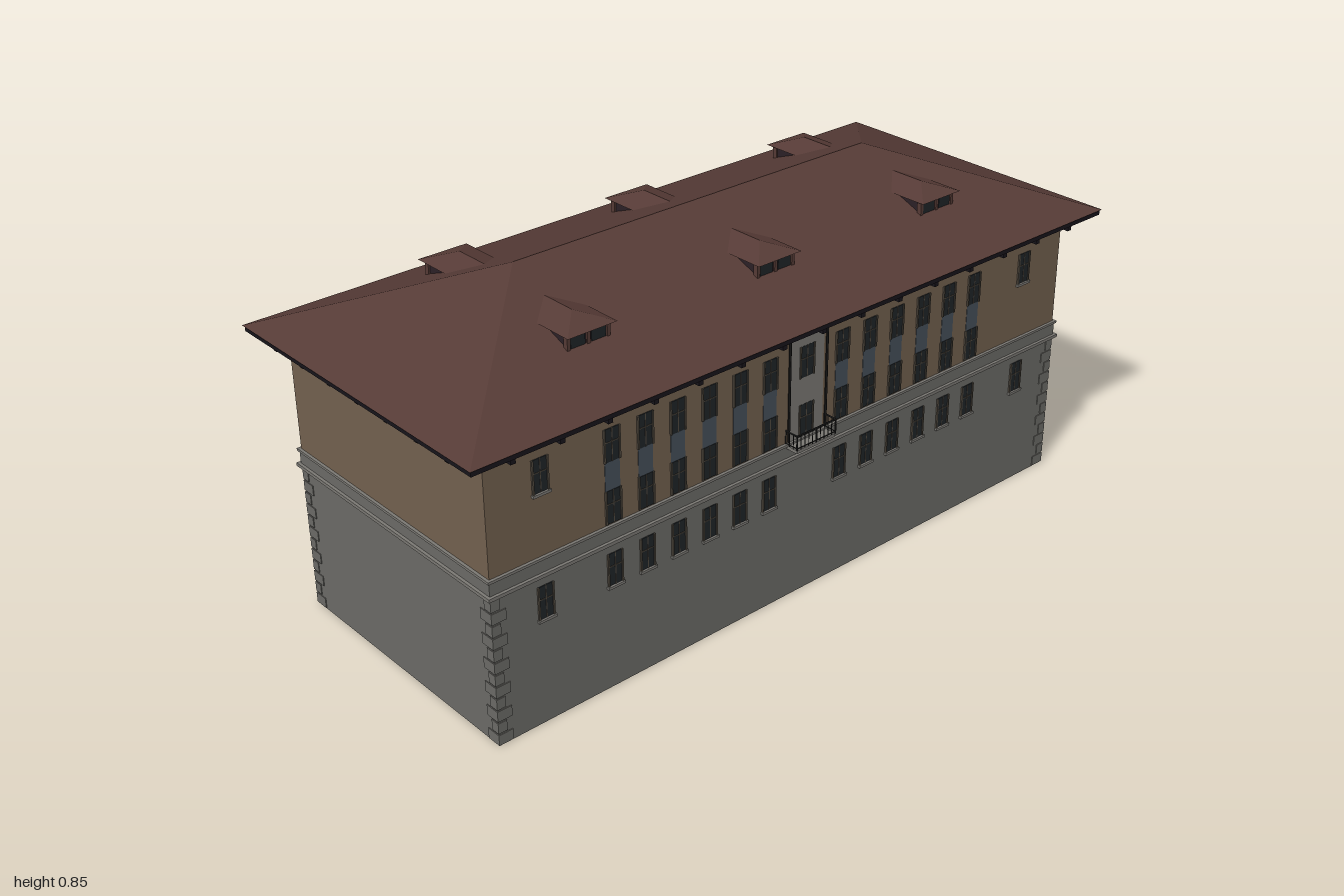
import * as THREE from 'three';

const mat = (color, side = THREE.FrontSide) => new THREE.MeshStandardMaterial({ color, side, flatShading: true });
const M = {
  stone: mat(0x6c6b67), trim: mat(0x7b7974), brick: mat(0x73614f), roof: mat(0x563b36),
  eave: mat(0x17141a), glass: mat(0x1f2427), pane: mat(0x46505a), iron: mat(0x1c1c1c),
  frame: mat(0x50493f), dormer: mat(0x2b2026), concrete: mat(0x565552), lamp: mat(0x8a7440),
};
const L = 1.683, W = 0.68; // wall footprint

function add(parent, name, geo, m) {
  const mesh = new THREE.Mesh(geo, m);
  mesh.name = name;
  parent.add(mesh);
  return mesh;
}

// box given by its limits
function box(parent, name, m, x0, x1, y0, y1, z0, z1) {
  const mesh = add(parent, name, new THREE.BoxGeometry(x1 - x0, y1 - y0, z1 - z0), m);
  mesh.position.set((x0 + x1) / 2, (y0 + y1) / 2, (z0 + z1) / 2);
  return mesh;
}

// round bar between two points
function bar(parent, name, a, b, r, m = M.iron) {
  const p = new THREE.Vector3(...a), q = new THREE.Vector3(...b), d = q.clone().sub(p);
  const mesh = add(parent, name, new THREE.CylinderGeometry(r, r, d.length(), 6), m);
  mesh.position.copy(p).add(q).multiplyScalar(0.5);
  mesh.quaternion.setFromUnitVectors(new THREE.Vector3(0, 1, 0), d.normalize());
}

// railing with balusters from a to b
function railing(parent, a, b, n, h = 0.035) {
  const g = new THREE.Group();
  g.name = 'railing';
  parent.add(g);
  const up = ([x, y, z], k) => [x, y + k, z];
  bar(g, 'handrail', up(a, h), up(b, h), 0.0022);
  bar(g, 'bottomRail', up(a, 0.005), up(b, 0.005), 0.0013);
  for (let i = 0; i <= n; i++) {
    const p = a.map((v, k) => v + (b[k] - v) * i / n);
    bar(g, 'baluster', p, up(p, h), i % 5 ? 0.001 : 0.002);
  }
}

// hollow rectangular storey or moulding, o = overhang past the wall
function ring(parent, name, m, y0, y1, o = 0, t = 0.012) {
  const rect = (C, x, y) => new C([[-x, -y], [x, -y], [x, y], [-x, y]].map(p => new THREE.Vector2(...p)));
  const s = rect(THREE.Shape, L / 2 + o, W / 2 + o);
  s.holes.push(rect(THREE.Path, L / 2 - t, W / 2 - t));
  const geo = new THREE.ExtrudeGeometry(s, { depth: y1 - y0, bevelEnabled: false });
  add(parent, name, geo.rotateX(-Math.PI / 2).translate(0, y0, 0), m);
}

// flat faces from fans of corners
function faces(list) {
  const pos = [];
  for (const f of list) for (let i = 1; i < f.length - 1; i++) pos.push(...f[0], ...f[i], ...f[i + 1]);
  const geo = new THREE.BufferGeometry();
  geo.setAttribute('position', new THREE.Float32BufferAttribute(pos, 3));
  geo.computeVertexNormals();
  return geo;
}

// window piercing the wall, with surround, glazing bars and sill
function windowAt(side, x, y0, y1, w, m = M.glass, sill = true) {
  const g = new THREE.Group();
  g.name = 'window';
  side.add(g);
  const h = w / 2, ym = y0 + (y1 - y0) * 0.6;
  box(g, 'glass', m, x - h, x + h, y0, y1, -0.016, 0.002);
  for (const s of [-1, 1]) box(g, 'jamb', M.frame, x + s * h - 0.002, x + s * h + 0.002, y0, y1, 0, 0.004);
  box(g, 'mullion', M.frame, x - 0.001, x + 0.001, y0, y1, 0, 0.003);
  box(g, 'transom', M.frame, x - h, x + h, ym - 0.001, ym + 0.001, 0, 0.003);
  if (sill) box(g, 'sill', M.trim, x - h - 0.004, x + h + 0.004, y0 - 0.006, y0, 0, 0.007);
}

// two-storey window strip with a panel between
function strip(side, x, w, top = M.glass, low = M.glass) {
  windowAt(side, x, 0.54, 0.615, w, top, false);
  box(side, 'panel', M.pane, x - w / 2, x + w / 2, 0.475, 0.54, -0.014, 0.001);
  windowAt(side, x, 0.399, 0.475, w, low, false);
}

function balcony(side, x, w) {
  const d = 0.035, y = 0.392;
  box(side, 'balconySlab', M.trim, x - w, x + w, y - 0.008, y, 0, d);
  railing(side, [x - w, y, d], [x + w, y, d], 10);
  for (const s of [-1, 1]) railing(side, [x + s * w, y, 0], [x + s * w, y, d], 3);
}

// local frame of a wall: x along it, z outward
function wallSide(parent, name, angle, dist) {
  const g = new THREE.Group();
  g.name = name;
  g.rotation.y = angle;
  g.position.set(Math.sin(angle) * dist, 0, Math.cos(angle) * dist);
  parent.add(g);
  return g;
}

export function createModel() {
  const root = new THREE.Group();
  const b = new THREE.Group();
  b.name = 'building';
  b.rotation.y = -0.085;
  b.position.x = -0.053;
  root.add(b);

  // storeys and mouldings
  ring(b, 'lowerWalls', M.stone, 0, 0.354);
  ring(b, 'lowerLedge', M.trim, 0.352, 0.36, 0.01);
  ring(b, 'stringCourse', M.stone, 0.36, 0.39, 0.003);
  ring(b, 'upperLedge', M.trim, 0.39, 0.396, 0.007);
  ring(b, 'upperWalls', M.brick, 0.396, 0.66);
  ring(b, 'frieze', M.trim, 0.65, 0.676, 0.005);

  // hipped roof
  const X = 0.91, Z = 0.404, R = 0.505, E = 0.688, T = 0.845;
  const A = [-X, E, Z], B = [X, E, Z], C = [X, E, -Z], D = [-X, E, -Z], P = [-R, T, 0], Q = [R, T, 0];
  add(b, 'roof', faces([[A, B, Q, P], [B, C, Q], [C, D, P, Q], [D, A, P]]), M.roof);
  box(b, 'eaves', M.eave, -X + 0.004, X - 0.004, 0.675, E - 0.0005, -Z + 0.004, Z - 0.004);

  // dormers with small hipped roofs
  for (const s of [1, -1]) for (const x of [-0.505, 0, 0.505]) {
    const d = new THREE.Group();
    d.name = 'dormer';
    d.position.x = x;
    d.rotation.y = s > 0 ? 0 : Math.PI;
    b.add(d);
    box(d, 'dormerBody', M.dormer, -0.05, 0.05, 0.735, 0.784, 0.14, 0.238);
    for (const k of [-0.026, 0.026]) box(d, 'dormerWindow', M.glass, k - 0.018, k + 0.018, 0.752, 0.779, 0.2, 0.24);
    for (const k of [-0.05, 0, 0.05]) box(d, 'dormerPost', M.roof, k - 0.004, k + 0.004, 0.742, 0.784, 0.23, 0.242);
    const y = 0.784, a = [-0.062, y, 0.255], c = [0.062, y, 0.255], e = [0.062, y, 0.14], f = [-0.062, y, 0.14];
    const p = [0, 0.806, 0.085], q = [0, 0.806, 0.19];
    add(d, 'dormerRoof', faces([[a, c, q], [c, e, p, q], [f, a, q, p], [a, f, e, c]]), M.roof);
  }

  const front = wallSide(b, 'frontSide', 0, W / 2), back = wallSide(b, 'backSide', Math.PI, W / 2);
  const right = wallSide(b, 'entranceSide', Math.PI / 2, L / 2), plain = wallSide(b, 'plainSide', -Math.PI / 2, L / 2);

  // long sides
  for (const side of [front, back]) {
    for (const s of [-1, 1]) {
      for (let i = 0; i < 6; i++) {
        const x = s * (0.107 + 0.0856 * i);
        strip(side, x, 0.038);
        windowAt(side, x, 0.252, 0.328, 0.036);
        if (side === back && i > 0) windowAt(side, x, 0.1, 0.172, 0.036);
      }
      windowAt(side, s * 0.711, 0.54, 0.615, 0.036);
      windowAt(side, s * 0.711, 0.252, 0.328, 0.036);
      bar(side, 'downpipe', [s * 0.055, 0.4, 0.006], [s * 0.055, 0.67, 0.006], 0.003);
    }
    box(side, 'centrePanel', M.trim, -0.05, 0.05, 0.394, 0.67, -0.005, 0.0015);
    strip(side, 0, 0.04);
  }
  balcony(front, 0, 0.058);
  windowAt(back, -0.711, 0.397, 0.475, 0.036, M.glass, false);
  balcony(back, -0.711, 0.045);

  // entrance side windows
  [-0.24, -0.12, -0.005, 0.115, 0.235].forEach((x, i) =>
    strip(right, x, 0.05, i < 3 ? M.glass : M.pane, i === 2 ? M.glass : M.pane));
  for (const x of [-0.22, -0.145, 0.135, 0.21]) windowAt(right, x, 0.248, 0.33, 0.042, x < 0 ? M.glass : M.pane);
  windowAt(right, -0.005, 0.262, 0.313, 0.044);
  bar(right, 'downpipe', [-0.065, 0.21, 0.008], [-0.065, 0.67, 0.008], 0.0035);
  bar(right, 'roundWindow', [-0.005, 0.132, -0.014], [-0.005, 0.132, 0.003], 0.015, M.glass);
  add(right, 'roundSurround', new THREE.TorusGeometry(0.017, 0.003, 6, 20), M.trim).position.set(-0.005, 0.132, 0.001);

  // doors with wall lamps
  for (const x of [-0.18, 0.175]) {
    box(right, 'doorSurround', M.trim, x - 0.031, x + 0.031, 0.075, 0.171, 0, 0.004);
    box(right, 'door', M.iron, x - 0.027, x + 0.027, 0.075, 0.156, -0.014, 0.006);
    box(right, 'fanlight', M.lamp, x - 0.027, x + 0.027, 0.158, 0.166, 0, 0.006);
    bar(right, 'lampArm', [x, 0.185, 0], [x, 0.185, 0.016], 0.0018);
    add(right, 'wallLamp', new THREE.CylinderGeometry(0.007, 0.004, 0.018, 6), M.iron).position.set(x, 0.192, 0.016);
  }

  // landings, side stairs and central steps
  const d = 0.055;
  for (const [x0, x1] of [[-0.23, -0.15], [0.135, 0.385]]) {
    box(right, 'landing', M.concrete, x0, x1, 0.068, 0.077, 0, d);
    for (const x of [x0 + 0.006, x1 - 0.006]) box(right, 'pier', M.concrete, x - 0.006, x + 0.006, 0, 0.07, d - 0.014, d - 0.002);
    railing(right, [x0, 0.077, d], [x1, 0.077, d], Math.round((x1 - x0) / 0.011));
  }
  railing(right, [-0.23, 0.077, 0], [-0.23, 0.077, d], 4);
  for (const [xl, xh] of [[-0.085, -0.15], [0.07, 0.135]]) {
    for (let i = 0; i < 5; i++) {
      const p = xl + (xh - xl) * i / 5, q = xl + (xh - xl) * (i + 1) / 5;
      box(right, 'stairTread', M.concrete, Math.min(p, q), Math.max(p, q), 0, 0.042 + i * 0.007, 0, d);
    }
    railing(right, [xl, 0.036, d], [xh, 0.077, d], 6);
  }
  for (let i = 0; i < 4; i++)
    box(right, 'frontStep', M.concrete, -0.085 - i * 0.003, 0.07 + i * 0.003, 0, 0.036 - i * 0.009, 0, 0.1 + i * 0.024);

  // sloping walkway along the back
  const s = new THREE.Shape([[-0.895, 0.068], [-0.84, 0.068], [0, 0], [0, 0.006], [-0.84, 0.077], [-0.895, 0.077]].map(p => new THREE.Vector2(...p)));
  add(back, 'walkway', new THREE.ExtrudeGeometry(s, { depth: 0.046, bevelEnabled: false }), M.concrete);
  railing(back, [-0.84, 0.077, 0.045], [0, 0.006, 0.045], 70);
  railing(back, [-0.895, 0.077, 0.045], [-0.84, 0.077, 0.045], 5);
  for (let i = 0; i < 7; i++) {
    const x = -0.84 + i * 0.11;
    box(back, 'walkwayPier', M.concrete, x - 0.006, x + 0.006, 0, -x * 0.081 + 0.004, 0.03, 0.043);
  }

  // sign post in front of the entrance
  bar(right, 'signPost', [0.217, 0, 0.196], [0.217, 0.06, 0.196], 0.0025);
  box(right, 'signBoard', M.iron, 0.205, 0.229, 0.052, 0.065, 0.193, 0.199);

  // eave brackets and corner stones on every wall
  for (const [side, half] of [[front, L / 2], [back, L / 2], [right, W / 2], [plain, W / 2]]) {
    const n = Math.round(half * 2 / 0.118);
    for (let i = 0; i <= n; i++) {
      const x = (half - 0.035) * (2 * i / n - 1);
      box(side, 'eaveBracket', M.eave, x - 0.006, x + 0.006, 0.66, 0.677, 0, 0.052);
      box(side, 'bracketFoot', M.trim, x - 0.014, x + 0.014, 0.636, 0.652, 0, 0.004);
    }
    for (const k of [-1, 1]) for (let i = 0; i < 12; i++) {
      const w = i % 2 ? 0.022 : 0.036, x = k * (half + 0.002 - w / 2);
      box(side, 'cornerStone', M.stone, x - w / 2, x + w / 2, i * 0.029 + 0.002, i * 0.029 + 0.027, 0, 0.002);
    }
  }
  return root;
}
